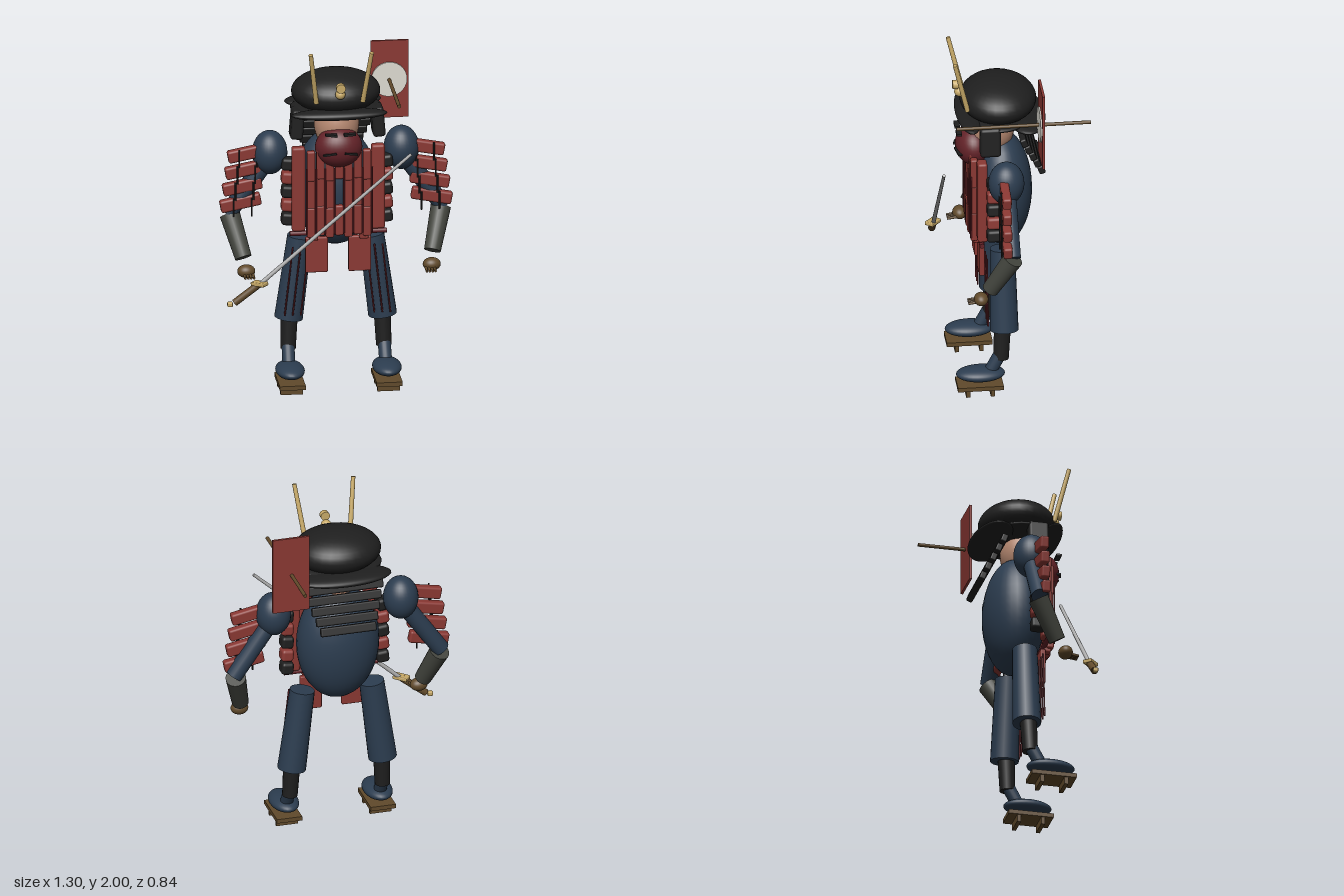
import * as THREE from 'three';
import { RoundedBoxGeometry } from 'three/addons/geometries/RoundedBoxGeometry.js';

const mat = (name, color) => {
  const m = new THREE.MeshStandardMaterial({ color });
  m.name = name;
  return m;
};

export function createModel() {
  const model = new THREE.Group();
  model.name = 'armouredWarrior';
  const blue = mat('indigoCloth', 0x2c3d50), red = mat('redLacquer', 0x8b3833);
  const black = mat('blackLacquer', 0x1f1f1f), grey = mat('sleeveGrey', 0x44463f);
  const brown = mat('brownWood', 0x614a2b), gold = mat('gold', 0xc8aa68);
  const skin = mat('skin', 0xb88a72), maroon = mat('maroon', 0x632228);
  const steel = mat('steel', 0xababab), white = mat('white', 0xdedbd2);

  const add = (name, geo, material, p, rot = [0, 0, 0]) => {
    const m = new THREE.Mesh(geo, material);
    m.name = name;
    m.position.set(...p);
    m.rotation.set(...rot);
    model.add(m);
    return m;
  };
  const ball = (name, material, p, r) => {
    const m = add(name, new THREE.SphereGeometry(1, 32, 20), material, p);
    m.scale.set(...r);
    return m;
  };
  const box = (name, material, p, size, rot) =>
    add(name, new THREE.BoxGeometry(...size), material, p, rot);
  const plate = (name, material, p, size, rot) =>
    add(name, new RoundedBoxGeometry(...size, 2, Math.min(...size) * 0.25), material, p, rot);
  // Tapered rod from point a to point b
  const rod = (name, material, a, b, ra, rb = ra, sides = 20) => {
    const A = new THREE.Vector3(...a), d = new THREE.Vector3(...b).sub(A);
    const m = add(name, new THREE.CylinderGeometry(rb, ra, d.length(), sides), material,
      A.clone().addScaledVector(d, 0.5).toArray());
    m.quaternion.setFromUnitVectors(new THREE.Vector3(0, 1, 0), d.normalize());
    return m;
  };

  // Body, head and mask
  ball('torso', blue, [0, 1.14, 0.045], [0.235, 0.34, 0.172]);
  ball('head', skin, [0, 1.52, 0.1], [0.125, 0.16, 0.13]);
  ball('mask', maroon, [0, 1.415, 0.2], [0.132, 0.115, 0.1]);

  // Helmet
  ball('helmetBowl', black, [0, 1.7, 0.062], [0.248, 0.12, 0.213]);
  ball('helmetVisor', black, [0, 1.615, 0.23], [0.268, 0.03, 0.07]);
  ball('helmetRearBrim', black, [0, 1.595, -0.085], [0.27, 0.035, 0.115]);
  ball('helmetRim', black, [0, 1.61, 0.07], [0.255, 0.035, 0.2]);
  for (let i = 0; i < 5; i++)
    plate('neckGuard', black, [0, 1.515 - i * 0.052, -0.06 - i * 0.026],
      [0.46 - i * 0.035, 0.05, 0.036], [0.35, 0, 0]);
  ball('crestKnob', gold, [0, 1.745, 0.275], [0.028, 0.028, 0.03]);
  add('crestDisc', new THREE.CylinderGeometry(0.026, 0.026, 0.03, 20), gold,
    [0, 1.79, 0.3], [Math.PI / 2, 0, 0]);

  // Breastplate columns, in three overlapping rows
  for (let row = 0; row < 3; row++)
    for (let i = -3; i <= 3; i++) {
      if (i === 0 && row === 1) continue;
      plate('breastPlate', red,
        [i * 0.052, 1.325 - row * 0.165 - (Math.abs(i) % 2) * 0.012, 0.222 - 0.003 * Math.abs(i) - 0.004 * (row % 2)],
        [0.046, 0.175, 0.04]);
    }
  for (let i = -3.5; i <= 3.5; i++)
    rod('breastCord', maroon, [i * 0.052, 0.92, 0.232], [i * 0.052, 1.3, 0.232], 0.005, 0.005, 8);
  rod('belt', maroon, [-0.27, 0.91, 0.18], [0.27, 0.91, 0.18], 0.014);

  for (const s of [-1, 1]) {
    // Mask details, cheek guards and horns
    box('eye', black, [s * 0.052, 1.512, 0.285], [0.065, 0.012, 0.03], [0, 0, s * 0.06]);
    box('mouthLine', black, [s * 0.058, 1.4, 0.288], [0.075, 0.01, 0.025], [0, s * 0.25, -s * 0.2]);
    plate('cheekGuard', black, [s * 0.225, 1.54, 0.13], [0.07, 0.17, 0.115], [0, 0, s * 0.08]);
    rod('horn', gold, [s * 0.13, 1.69, 0.245], [s * 0.17, 1.998, 0.32], 0.014, 0.012);

    // Side panels and flank plates
    plate('sidePanel', red, [s * 0.222, 1.17, 0.175], [0.075, 0.49, 0.055]);
    for (let i = 0; i < 5; i++)
      plate('flankPlate', i % 2 ? red : black, [s * 0.275, 1.3 - i * 0.08, 0.115], [0.07, 0.07, 0.08], [0, 0, s * 0.1]);
    plate('hipPlate', red, [s * 0.12, 0.78, 0.17], [0.125, 0.205, 0.03]);
    plate('waistPlate', red, [s * 0.14, 0.915, 0.2], [0.05, 0.08, 0.04]);

    // Arm
    ball('shoulder', blue, [s * 0.367, 1.35, 0.057], [0.098, 0.125, 0.1]);
    rod('upperArm', blue, [s * 0.4, 1.28, 0.055], [s * 0.598, 1.0, 0.05], 0.05, 0.048);
    rod('forearm', grey, [s * 0.588, 0.99, 0.045], [s * 0.527, 0.775, 0.165], 0.057, 0.047);
    ball('hand', brown, [s * 0.517, 0.713, 0.215], [0.05, 0.037, 0.04]);
    for (let i = 0; i < 4; i++) {
      const x = s * (0.482 + i * 0.016);
      rod('finger', brown, [x, 0.702, 0.23], [x, 0.694, 0.288], 0.008, 0.007, 10);
    }

    // Layered shoulder armour
    for (let i = 0; i < 4; i++) {
      const y = 1.355 - i * 0.095, x = 0.503 + i * 0.01;
      plate('shoulderPlate', red, [s * x, y, 0.078], [0.205 + i * 0.008, 0.07, 0.05], [0, 0, -s * 0.19]);
      for (const dx of [-0.06, 0.04])
        rod('shoulderCord', black, [s * (x + dx), y - 0.075, 0.105], [s * (x + dx), y + 0.03, 0.105], 0.005, 0.005, 8);
    }

    // Leg and pleats
    rod('trouserLeg', blue, [s * 0.262, 0.38, 0.057], [s * 0.2, 0.855, 0.06], 0.08, 0.07);
    for (const dx of [-0.045, 0, 0.045])
      rod('pleat', maroon, [s * (0.25 + dx), 0.42, 0.15], [s * (0.205 + dx), 0.82, 0.152], 0.005, 0.005, 8);
    rod('shin', black, [s * 0.267, 0.205, 0.075], [s * 0.258, 0.42, 0.065], 0.043, 0.048);
    rod('ankle', blue, [s * 0.27, 0.12, 0.14], [s * 0.268, 0.235, 0.078], 0.036, 0.036);
    ball('foot', blue, [s * 0.27, 0.117, 0.19], [0.081, 0.04, 0.136]);

    // Wooden sandal
    box('sandalBoard', brown, [s * 0.27, 0.053, 0.195], [0.145, 0.024, 0.255]);
    for (const z of [0.265, 0.128])
      box('sandalTooth', brown, [s * 0.27, 0.022, z], [0.125, 0.044, 0.022]);
  }

  // Banner on its pole
  rod('bannerPole', brown, [0.322, 1.68, -0.42], [0.322, 1.68, 0.33], 0.01);
  box('bannerCloth', red, [0.325, 1.683, -0.145], [0.212, 0.45, 0.014]);
  add('bannerDisc', new THREE.CylinderGeometry(0.1, 0.1, 0.008, 28), white,
    [0.322, 1.683, -0.133], [Math.PI / 2, 0, 0]);

  // Sword
  rod('blade', steel, [-0.46, 0.685, 0.367], [0.38, 1.425, 0.406], 0.012, 0.009, 12);
  rod('swordGrip', brown, [-0.6, 0.58, 0.36], [-0.465, 0.685, 0.367], 0.02);
  plate('swordGuard', gold, [-0.462, 0.69, 0.37], [0.085, 0.022, 0.055], [0, -0.7, 0.05]);
  plate('pommel', gold, [-0.625, 0.572, 0.36], [0.03, 0.027, 0.027]);

  return model;
}
